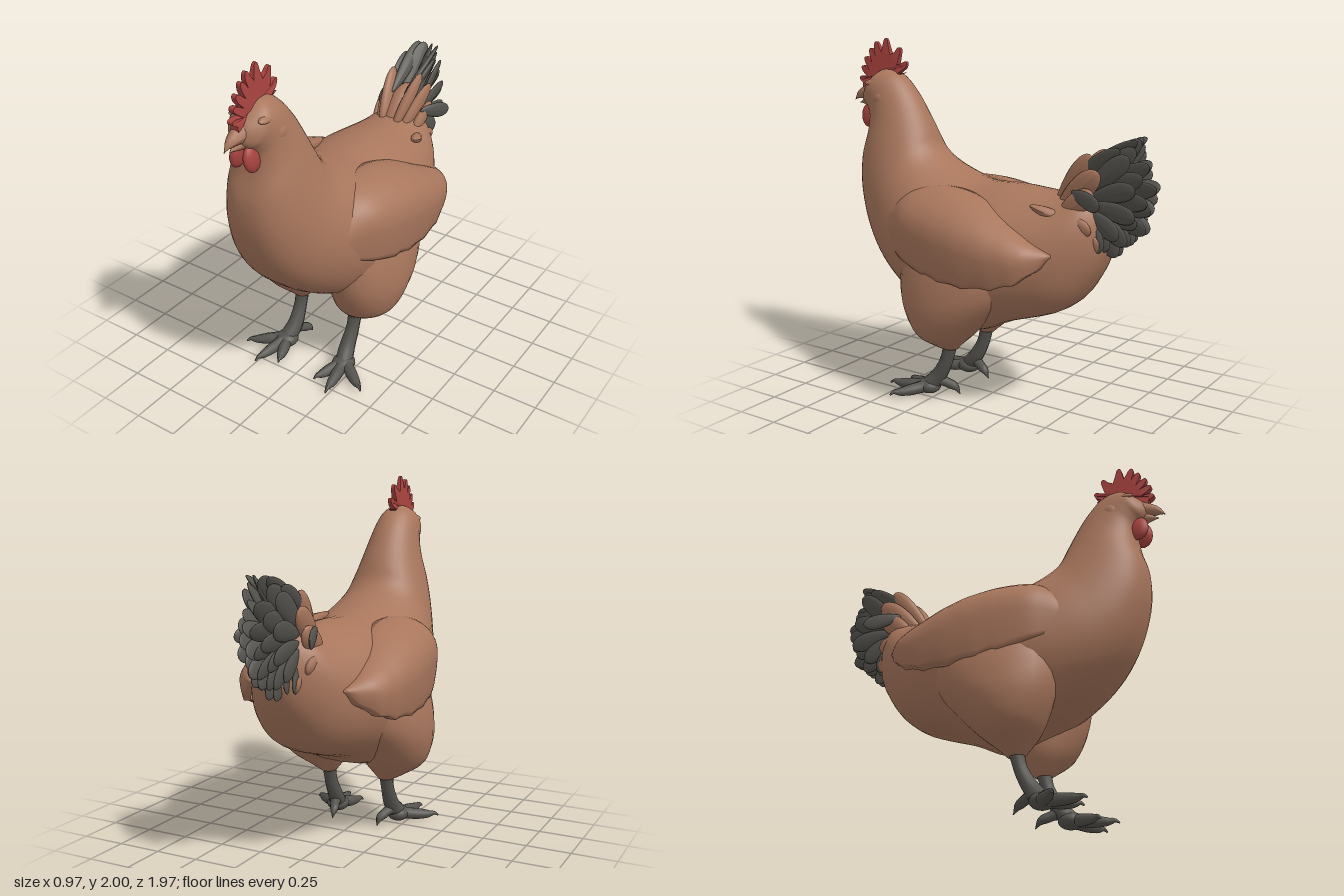
import * as THREE from 'three';

const V = (x, y, z) => new THREE.Vector3(x, y, z);
const paint = (name, color) => Object.assign(new THREE.MeshStandardMaterial({ color }), { name });

// Smoothly resample rows of section numbers, k steps between neighbours
function resample(rows, k) {
  const out = [];
  const at = i => rows[Math.max(0, Math.min(rows.length - 1, i))];
  for (let i = 0; i < rows.length - 1; i++) {
    for (let j = 0; j < k; j++) {
      const t = j / k;
      out.push(rows[i].map((b, n) => {
        const a = at(i - 1)[n], c = at(i + 1)[n], d = at(i + 2)[n];
        return b + 0.5 * t * (c - a + t * (2 * a - 5 * b + 4 * c - d + t * (3 * (b - c) + d - a)));
      }));
    }
  }
  out.push(rows[rows.length - 1]);
  return out;
}

// Closed skin over a list of equal-sized rings, always facing outwards
function loft(rings) {
  const n = rings[0].length, pts = rings.flat(), idx = [];
  for (let i = 0; i < rings.length - 1; i++) {
    for (let j = 0; j < n; j++) {
      const a = i * n + j, b = i * n + (j + 1) % n;
      idx.push(a, b, a + n, b, b + n, a + n);
    }
  }
  for (const [ring, start, flip] of [[rings[0], 0, true], [rings.at(-1), pts.length - n, false]]) {
    const c = ring.reduce((s, p) => s.add(p), V(0, 0, 0)).divideScalar(n);
    const k = pts.push(c) - 1;
    for (let j = 0; j < n; j++) {
      const a = start + j, b = start + (j + 1) % n;
      idx.push(k, flip ? b : a, flip ? a : b);
    }
  }
  let volume = 0;
  for (let i = 0; i < idx.length; i += 3) {
    volume += pts[idx[i]].dot(V(0, 0, 0).crossVectors(pts[idx[i + 1]], pts[idx[i + 2]]));
  }
  if (volume < 0) idx.reverse();
  const g = new THREE.BufferGeometry().setFromPoints(pts);
  g.setIndex(idx);
  g.computeVertexNormals();
  return g;
}

const ring = (n, f) => Array.from({ length: n }, (_, i) => f(i / n * Math.PI * 2));

// Round tube whose radius follows a list of values
function taperTube(points, radii, seg = 16, sides = 12) {
  const curve = new THREE.CatmullRomCurve3(points.map(p => V(...p)));
  const g = new THREE.TubeGeometry(curve, seg, 1, sides);
  const pos = g.attributes.position, p = V(0, 0, 0);
  const rs = resample(radii.map(r => [r]), 8);
  for (let i = 0; i < pos.count; i++) {
    const t = Math.floor(i / (sides + 1)) / seg;
    const c = curve.getPointAt(t);
    p.fromBufferAttribute(pos, i).sub(c).multiplyScalar(rs[Math.round(t * (rs.length - 1))][0]).add(c);
    pos.setXYZ(i, p.x, p.y, p.z);
  }
  g.computeVertexNormals();
  return g;
}

export function createModel() {
  const hen = new THREE.Group();
  hen.name = 'hen';
  const brown = paint('brown plumage', 0xa8765c);
  const grey = paint('dark grey', 0x55534e);
  const red = paint('comb red', 0xa8433f);

  const add = (name, geometry, material) => {
    const m = new THREE.Mesh(geometry, material);
    m.name = name;
    hen.add(m);
    return m;
  };
  const blob = (name, material, p, s, tilt = 0) => {
    const m = add(name, new THREE.SphereGeometry(1, 24, 16).scale(...s), material);
    m.position.set(...p);
    m.rotation.z = tilt;
  };
  // Leaf-shaped feather, wider towards its tip, rolled about its length
  const feather = (name, material, root, tip, width, thick = 0.016, roll = 0) => {
    const a = V(...root), b = V(...tip), half = a.distanceTo(b) / 2;
    const g = new THREE.SphereGeometry(1, 12, 16).rotateX(Math.PI / 2);
    const pos = g.attributes.position;
    for (let i = 0; i < pos.count; i++) {
      const z = pos.getZ(i), k = 0.8 + 0.25 * z;
      pos.setXYZ(i, pos.getX(i) * thick, pos.getY(i) * width * k, z * half);
    }
    g.computeVertexNormals();
    const m = add(name, g, material);
    m.position.copy(a).add(b).multiplyScalar(0.5);
    m.lookAt(b);
    m.rotateZ(roll);
  };

  // Body, neck and head: upper z, y, lower z, y, half width
  const bodyRows = [
    [-0.72, 1.18, -0.74, 0.98, 0.06], [-0.62, 1.26, -0.66, 0.80, 0.19], [-0.45, 1.235, -0.5, 0.61, 0.3],
    [-0.17, 1.25, -0.2, 0.5, 0.39], [0.05, 1.25, 0.05, 0.41, 0.425], [0.22, 1.3, 0.36, 0.53, 0.405],
    [0.33, 1.36, 0.6, 0.68, 0.345], [0.385, 1.42, 0.76, 0.87, 0.285], [0.42, 1.5, 0.85, 1.1, 0.235],
    [0.46, 1.58, 0.865, 1.3, 0.195], [0.52, 1.68, 0.83, 1.45, 0.158], [0.59, 1.765, 0.82, 1.55, 0.135],
    [0.66, 1.815, 0.84, 1.6, 0.122], [0.75, 1.825, 0.865, 1.62, 0.105], [0.84, 1.765, 0.885, 1.645, 0.06],
    [0.87, 1.73, 0.89, 1.66, 0.035]];
  add('body', loft(resample(bodyRows, 5).map(([zt, yt, zb, yb, w]) => ring(40, a => {
    const s = Math.sin(a), c = Math.cos(a);
    return V(w * Math.sign(s) * Math.abs(s) ** (c < 0 ? 0.76 : 1.05),
      (yt + yb) / 2 + c * (yt - yb) / 2, (zt + zb) / 2 + c * (zt - zb) / 2);
  }))), brown);

  // Beak
  add('upperBeak', taperTube([[0, 1.69, 0.83], [0, 1.682, 0.9], [0, 1.663, 0.95], [0, 1.637, 0.983]],
    [0.062, 0.044, 0.026, 0.002]), brown);
  add('lowerBeak', taperTube([[0, 1.645, 0.82], [0, 1.635, 0.89], [0, 1.622, 0.945]],
    [0.045, 0.028, 0.002]), brown);

  // Comb: plate with rounded fingers, thin at the top and at both ends
  const spikes = [[0.93, 1.77], [0.915, 1.835], [0.89, 1.89], [0.85, 1.94], [0.81, 1.98],
    [0.735, 2.0], [0.635, 1.95], [0.587, 1.87]].map(p => new THREE.Vector2(...p));
  const hub = new THREE.Vector2(0.74, 1.72);
  const comb = new THREE.Shape();
  comb.moveTo(0.9, 1.7);
  spikes.forEach((tip, i) => {
    const d = tip.clone().sub(hub).normalize();
    const at = (back, across) => [tip.x - d.x * back - d.y * across, tip.y - d.y * back + d.x * across];
    comb.lineTo(...at(0.035, -0.019));
    comb.quadraticCurveTo(...at(0, -0.014), ...at(0, 0));
    comb.quadraticCurveTo(...at(0, 0.014), ...at(0.035, 0.019));
    const valley = tip.clone().add(spikes[i + 1] || new THREE.Vector2(0.6, 1.83)).multiplyScalar(0.5).sub(hub);
    valley.setLength(valley.length() - 0.07).add(hub);
    comb.lineTo(valley.x, valley.y);
  });
  comb.lineTo(0.6, 1.81);
  comb.lineTo(0.72, 1.77);
  const combGeo = new THREE.ExtrudeGeometry(comb, { depth: 0.05, bevelEnabled: false, curveSegments: 5 });
  combGeo.translate(0, 0, -0.025).rotateY(-Math.PI / 2);
  const cp = combGeo.attributes.position;
  for (let i = 0; i < cp.count; i++) {
    const ends = 1 - 0.6 * ((cp.getZ(i) - 0.76) / 0.18) ** 2;
    cp.setX(i, cp.getX(i) * Math.max(0.3, 1.5 - (cp.getY(i) - 1.72) * 4.3) * Math.max(0.35, ends));
  }
  combGeo.computeVertexNormals();
  add('comb', combGeo, red);

  for (const s of [1, -1]) {
    const side = s > 0 ? 'left' : 'right';

    // Face
    blob(side + 'Wattle', red, [s * 0.041, 1.56, 0.835], [0.03, 0.073, 0.058], s * 0.12);
    blob(side + 'Eye', brown, [s * 0.088, 1.72, 0.775], [0.02, 0.026, 0.033]);
    blob(side + 'Brow', brown, [s * 0.088, 1.752, 0.77], [0.024, 0.016, 0.06], s * -0.5);
    blob(side + 'Cheek', brown, [s * 0.105, 1.66, 0.7], [0.033, 0.05, 0.05]);

    // Wing: z, top y, bottom y, x at top, middle and bottom
    const wingRows = [[0.56, 1.02, 0.92, 0.25, 0.29, 0.28], [0.42, 1.16, 0.87, 0.24, 0.375, 0.36],
      [0.3, 1.225, 0.83, 0.195, 0.435, 0.415], [0.1, 1.23, 0.775, 0.195, 0.475, 0.45],
      [-0.1, 1.185, 0.755, 0.22, 0.485, 0.455], [-0.3, 1.085, 0.775, 0.28, 0.46, 0.435],
      [-0.43, 1.015, 0.83, 0.31, 0.41, 0.39], [-0.53, 0.96, 0.935, 0.27, 0.29, 0.28]];
    add(side + 'Wing', loft(resample(wingRows, 6).map(([z, yt, yb, xt, xm, xb], i) => {
      const low = yb + (i > 16 ? 0.014 * Math.abs(Math.sin(i * 0.65)) : 0);
      const ym = yt + (low - yt) * 0.5;
      const outer = [], inner = [];
      for (let j = 0; j <= 16; j++) {
        const t = j / 8, u = t * Math.PI / 2;
        const x = t < 1 ? xt + (xm - xt) * Math.sin(u) : xm + (xb - xm) * (t - 1) ** 2;
        const y = t < 1 ? yt + (ym - yt) * (1 - Math.cos(u)) : ym + (low - ym) * (t - 1);
        outer.push(V(s * x, y, z));
        inner.unshift(V(s * (x - 0.05), y - 0.01 * (1 - t / 2), z));
      }
      return [...outer, ...inner];
    })), brown);

    // Thigh: y, centre x, centre z, radius x, radius z
    const thighRows = [[0.3, 0.185, 0.165, 0.042, 0.045], [0.34, 0.205, 0.165, 0.095, 0.085],
      [0.42, 0.24, 0.155, 0.175, 0.17], [0.55, 0.255, 0.125, 0.21, 0.265], [0.68, 0.255, 0.09, 0.213, 0.33],
      [0.82, 0.245, 0.07, 0.2, 0.34], [0.95, 0.24, 0.06, 0.17, 0.28], [1.03, 0.22, 0.06, 0.1, 0.15]];
    add(side + 'Thigh', loft(resample(thighRows, 4).map(([y, x, z, rx, rz]) =>
      ring(28, a => V(s * (x + rx * Math.cos(a)), y, z + rz * Math.sin(a))))), brown);

    // Leg, toes and claws
    add(side + 'Leg', taperTube([[s * 0.185, 0.36, 0.16], [s * 0.185, 0.22, 0.195], [s * 0.185, 0.12, 0.25],
      [s * 0.2, 0.05, 0.31]], [0.044, 0.037, 0.043, 0.05]), grey);
    blob(side + 'Foot', grey, [s * 0.2, 0.05, 0.31], [0.065, 0.045, 0.07]);
    for (const [x, z] of [[0.4, 0.44], [0.245, 0.56], [0.125, 0.5]]) {
      const at = (t, y) => [s * (0.2 + (x - 0.2) * t), y, 0.3 + (z - 0.3) * t];
      add(side + 'Toe', taperTube([at(0, 0.055), at(0.4, 0.042), at(0.78, 0.036), at(0.9, 0.04), at(1, 0.025)],
        [0.042, 0.034, 0.032, 0.022, 0.004], 20), grey);
    }
    add(side + 'BackToe', taperTube([[s * 0.19, 0.1, 0.26], [s * 0.165, 0.075, 0.2], [s * 0.15, 0.055, 0.16],
      [s * 0.145, 0.015, 0.13]], [0.035, 0.028, 0.024, 0.003]), grey);

    // Tail fan in layers from the middle outwards, leaning like a tent
    for (let layer = 0; layer < 3; layer++) {
      const count = 7 - layer;
      for (let i = 0; i < count; i++) {
        const f = i / (count - 1), ang = 0.82 - f * 1.8 - layer * 0.05;
        const len = (0.45 - 0.1 * f) * (1 - layer * 0.08) - (i % 2) * 0.02;
        const x = s * (0.02 + layer * 0.035);
        feather('tailFeather', grey, [x, 1.22 + Math.sin(ang) * 0.08, -0.58 - Math.cos(ang) * 0.08],
          [x * 1.1, 1.22 + Math.sin(ang) * len, -0.58 - Math.cos(ang) * len], 0.065, 0.016,
          s * (0.65 - layer * 0.15) * (1 - f));
      }
    }
    feather('topTailFeather', grey, [s * 0.04, 1.35, -0.55], [s * 0.06, 1.545, -0.89], 0.05, 0.016, s * 0.7);
    feather('topTailFeather', grey, [s * 0.07, 1.34, -0.55], [s * 0.09, 1.5, -0.81], 0.05, 0.016, s * 0.5);
    feather('sideTailFeather', grey, [s * 0.14, 1.27, -0.57], [s * 0.215, 1.22, -0.77], 0.055);

    // Coverts over the tail root
    for (const [x, y, z, tx, ty, tz, w] of [[0.04, 1.18, -0.43, 0.09, 1.46, -0.65, 0.06],
      [0.07, 1.15, -0.45, 0.12, 1.38, -0.71, 0.075], [0.12, 1.12, -0.48, 0.14, 1.28, -0.69, 0.07],
      [0.14, 1.14, -0.5, 0.15, 1.07, -0.69, 0.06], [0.09, 1.05, -0.5, 0.1, 0.98, -0.72, 0.08]]) {
      feather('tailCovert', brown, [s * x, y, z], [s * tx, ty, tz], w, 0.03, s * 0.3);
    }
  }
  // Tail root and the loose feather on the back
  feather('tailRoot', brown, [0, 1.08, -0.4], [0, 1.36, -0.69], 0.1, 0.09);
  feather('backFeather', brown, [0.22, 1.19, -0.37], [0.16, 1.13, -0.52], 0.035, 0.03);

  return hen;
}
